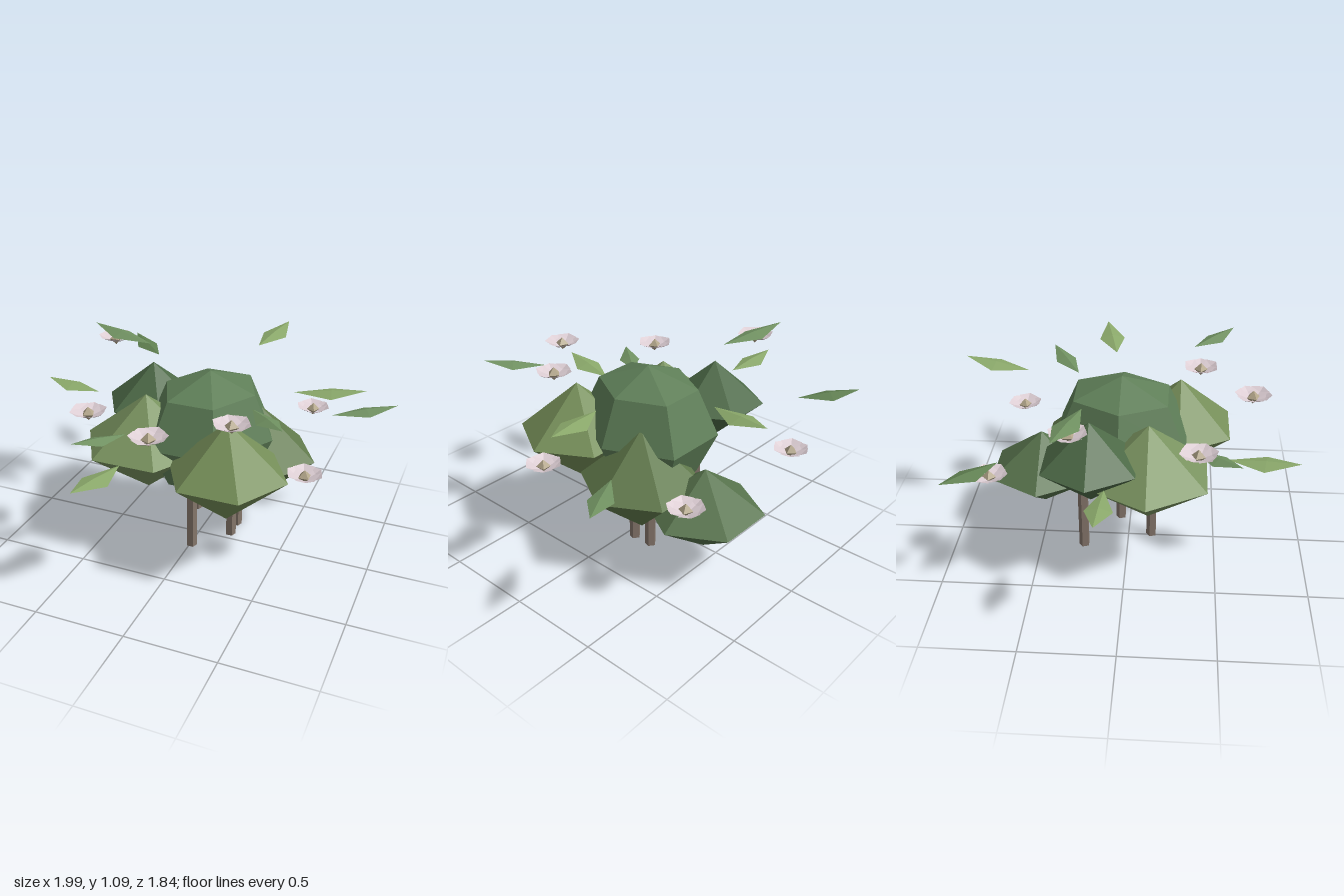
import * as THREE from 'three';

const flat = (color, side = THREE.FrontSide) =>
  new THREE.MeshStandardMaterial({ color, flatShading: true, side });

const barkMat = flat(0x84756a);
const petalMat = flat(0xdccdd3, THREE.DoubleSide);
const budMat = flat(0xb5a88c);
const leafMats = [0x8aa86a, 0x6f9060, 0x5f7f50].map(c => flat(c, THREE.DoubleSide));

function add(parent, name, geometry, material, x = 0, y = 0, z = 0) {
  const mesh = new THREE.Mesh(geometry, material);
  mesh.name = name;
  mesh.position.set(x, y, z);
  parent.add(mesh);
  return mesh;
}

// Triangles from a short list of corner points
function facets(points, faces) {
  const g = new THREE.BufferGeometry();
  g.setAttribute('position', new THREE.Float32BufferAttribute(faces.flat().flatMap(i => points[i]), 3));
  g.computeVertexNormals();
  return g;
}

// Folded diamond leaf running from its inner end to its outer tip
function leafGeometry([x0, y0, z0], [x1, y1, z1], width) {
  const len = Math.hypot(x1 - x0, z1 - z0);
  const sx = -(z1 - z0) / len * width / 2, sz = (x1 - x0) / len * width / 2;
  const at = t => [x0 + (x1 - x0) * t, y0 + (y1 - y0) * t, z0 + (z1 - z0) * t];
  const [mx, my, mz] = at(0.52);
  return facets(
    [[x0, y0, z0], [x1, y1, z1], [mx + sx, my - 0.015, mz + sz], [mx - sx, my - 0.015, mz - sz], [mx, my + 0.008, mz]],
    [[0, 2, 4], [4, 2, 1], [0, 4, 3], [4, 1, 3]]);
}

// Shallow cup of folded petals around a small pointed centre
function flower(x, y, z, turn) {
  const g = new THREE.Group();
  g.name = 'flower';
  const petal = facets(
    [[0, -0.028, 0], [0.058, 0.012, 0.07], [0, 0.016, 0.1], [-0.058, 0.012, 0.07], [0, -0.004, 0.065]],
    [[0, 1, 4], [4, 1, 2], [0, 4, 3], [4, 2, 3]]);
  for (let i = 0; i < 6; i++) {
    const p = add(g, 'petal', petal, petalMat);
    p.rotation.y = i * Math.PI / 3;
    p.position.y = (i % 2) * 0.004;
  }
  add(g, 'flowerCentre', new THREE.OctahedronGeometry(0.038), budMat, 0, -0.004, 0);
  g.position.set(x, y, z);
  g.rotation.y = turn;
  return g;
}

export function createModel() {
  const model = new THREE.Group();
  model.name = 'floweringBush';

  // Stems: x, z, top
  const stems = [[0.01, 0.135, 0.62], [0.178, -0.055, 0.6], [0.175, -0.17, 0.6], [-0.112, -0.25, 0.6]];
  for (const [x, z, top] of stems) {
    const geo = new THREE.CylinderGeometry(0.031, 0.031, top, 5);
    geo.rotateY(Math.PI);
    add(model, 'stem', geo, barkMat, x, top / 2, z);
  }

  // Faceted foliage lumps: centre, radius, half height, colour
  const lumps = [
    [0.27, 0.61, 0.28, 0.33, 0.287, 0x768f59],
    [-0.26, 0.61, 0.12, 0.36, 0.285, 0x7a9460],
    [0.28, 0.49, -0.2, 0.335, 0.3, 0x617a4c],
    [0.135, 0.37, -0.51, 0.32, 0.238, 0x58744d],
    [-0.35, 0.72, -0.18, 0.28, 0.235, 0x4d6a47],
  ];
  for (const [x, y, z, r, h, color] of lumps) {
    const geo = new THREE.SphereGeometry(r, 6, 2);
    geo.scale(1, h / r, 1);
    add(model, 'foliageLump', geo, flat(color), x, y, z);
  }

  // Crown: larger rounded lump, skewed a little
  const crown = new THREE.SphereGeometry(0.37, 6, 4);
  crown.scale(0.98, 0.95, 1.12);
  const p = crown.attributes.position;
  for (let i = 0; i < p.count; i++) p.setX(i, p.getX(i) - 0.06 * p.getZ(i));
  add(model, 'crown', crown, flat(0x5f7f58), 0.05, 0.668, -0.04);

  // Loose leaves: inner end, outer tip, width
  const leaves = [
    [[-0.52, 0.81, -0.62], [-0.78, 0.84, -0.85], 0.13],
    [[-0.38, 1.05, -0.21], [-0.78, 1.09, -0.31], 0.14],
    [[-0.66, 0.76, -0.08], [-1.0, 0.79, -0.1], 0.14],
    [[-0.27, 0.765, 0.36], [-0.46, 0.785, 0.6], 0.12],
    [[0.42, 1.03, 0.35], [0.64, 1.06, 0.58], 0.12],
    [[-0.22, 0.68, 0.54], [-0.29, 0.71, 0.915], 0.16],
    [[0.15, 0.99, -0.56], [0.225, 1.03, -0.92], 0.15],
    [[0.66, 0.725, -0.35], [0.99, 0.76, -0.54], 0.13],
    [[0.5, 0.945, -0.1], [0.87, 0.98, -0.18], 0.15],
  ];
  leaves.forEach(([a, b, w], i) =>
    add(model, 'leaf', leafGeometry(a, b, w), leafMats[[2, 1, 0, 1, 1, 0, 0, 1, 0][i]]));

  // Flowers hovering around the foliage
  const flowers = [
    [-0.33, 0.6, -0.72], [0.475, 0.6, -0.66], [-0.62, 1.04, -0.25], [-0.475, 0.86, 0.375],
    [0.33, 0.94, 0.39], [0.01, 0.94, 0.665], [0.65, 0.6, 0.15],
  ];
  flowers.forEach(([x, y, z], i) => model.add(flower(x, y, z, i * 0.4)));

  return model;
}
